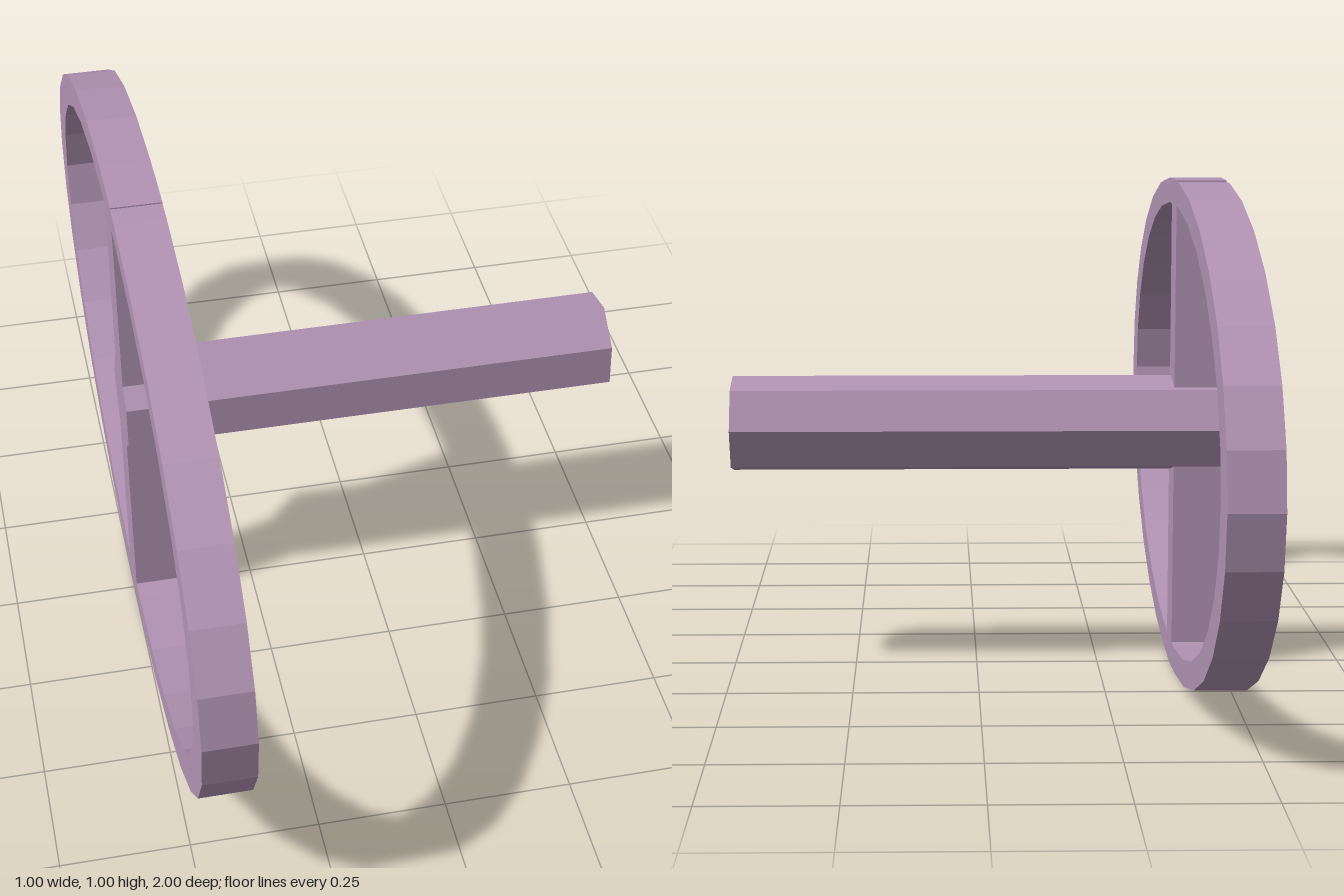
import * as THREE from 'three';

export function createModel() {
  const model = new THREE.Group();
  const material = new THREE.MeshStandardMaterial({ color: 0xb294b4, flatShading: true });

  const add = (name, geometry, x) => {
    const mesh = new THREE.Mesh(geometry, material);
    mesh.name = name;
    mesh.position.set(x, 0.5, 0);
    model.add(mesh);
  };

  // 30-sided ellipse outline
  const ellipse = (a, b) => Array.from({ length: 30 }, (_, i) => {
    const t = (i / 30) * Math.PI * 2;
    return new THREE.Vector2(a * Math.cos(t), b * Math.sin(t));
  });

  // Oval rim, extruded along x
  const outline = new THREE.Shape(ellipse(1, 0.5));
  outline.holes.push(new THREE.Path(ellipse(0.9, 0.45)));
  const rim = new THREE.ExtrudeGeometry(outline, { depth: 0.1, bevelEnabled: false });
  rim.rotateY(Math.PI / 2);
  add('rim', rim, -0.5);

  // Upright spoke, just reaching through the rim
  add('spoke', new THREE.BoxGeometry(0.1, 1, 0.1), -0.45);

  // Seven-sided axle through the spoke, with a corner towards -z
  const axle = new THREE.CylinderGeometry(0.1, 0.1, 1, 7, 1, false, Math.PI);
  axle.rotateZ(-Math.PI / 2);
  add('axle', axle, 0);

  return model;
}
